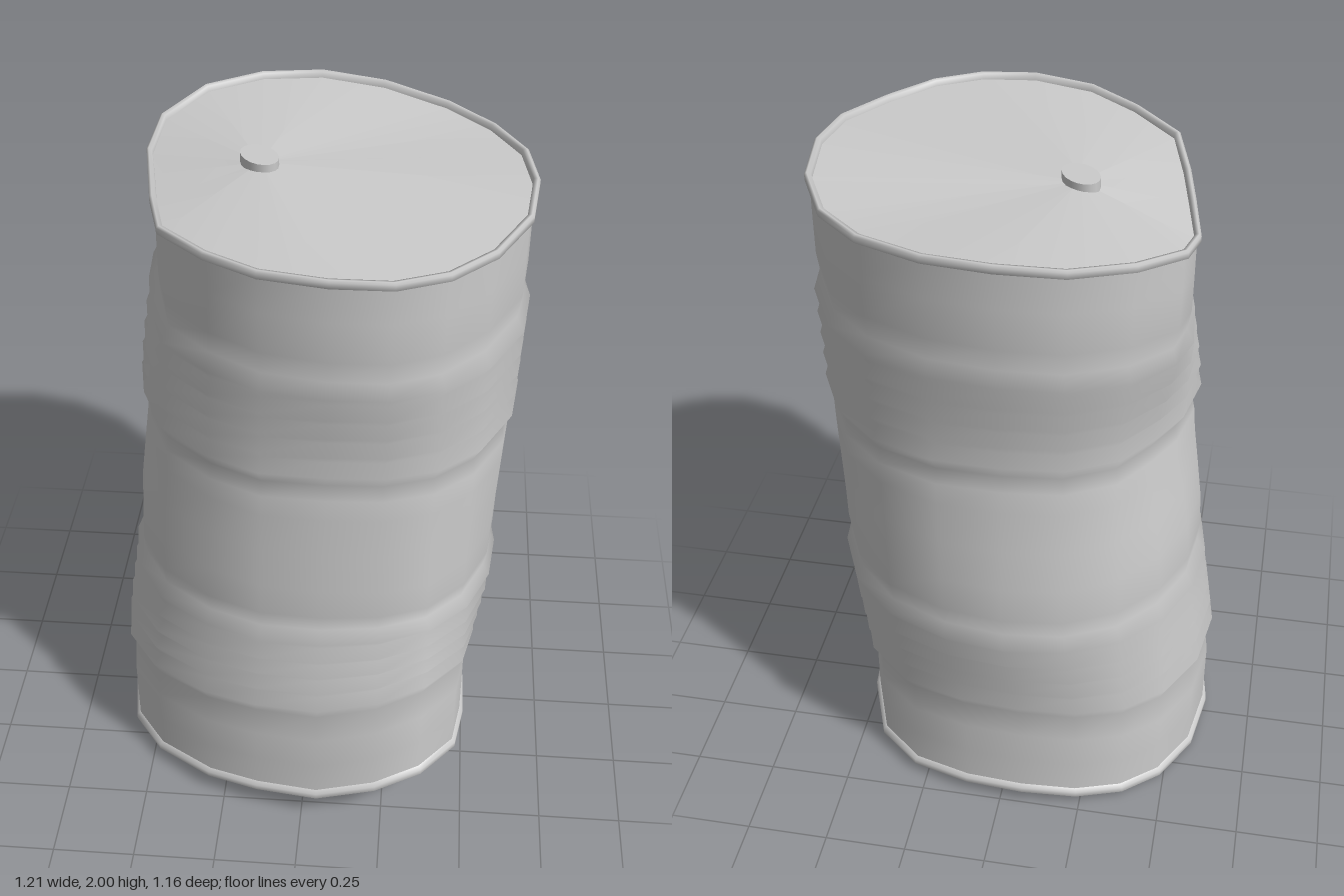
import * as THREE from 'three';

const N = 20; // sides of the drum

// Dented outlines [x, z], starting at +x and turning towards +z
const FOOT = [[.5, .03], [.5, .2], [.475, .365], [.37, .51], [.23, .56], [.05, .575], [-.14, .535], [-.3, .475], [-.475, .355], [-.575, .21],
  [-.605, .03], [-.575, -.16], [-.49, -.32], [-.38, -.42], [-.24, -.48], [-.07, -.5], [.11, -.485], [.29, -.43], [.42, -.33], [.485, -.16]];
const BELLY = [[.565, .03], [.545, .2], [.475, .36], [.37, .475], [.23, .52], [.06, .53], [-.12, .515], [-.28, .45], [-.43, .335], [-.52, .18],
  [-.55, .01], [-.53, -.16], [-.46, -.32], [-.35, -.45], [-.2, -.53], [-.02, -.555], [.16, -.53], [.34, -.45], [.47, -.32], [.545, -.16]];
const WAIST = [[.585, .03], [.565, .2], [.48, .36], [.37, .46], [.23, .51], [.07, .52], [-.11, .51], [-.26, .44], [-.4, .32], [-.475, .15],
  [-.505, 0], [-.47, -.16], [-.41, -.29], [-.33, -.42], [-.19, -.5], [-.02, -.52], [.17, -.51], [.35, -.44], [.48, -.32], [.56, -.16]];
const HEAD = [[.6, .03], [.58, .21], [.49, .38], [.375, .505], [.24, .57], [.08, .58], [-.1, .54], [-.245, .445], [-.38, .31], [-.43, .12],
  [-.46, -.04], [-.49, -.2], [-.47, -.35], [-.36, -.49], [-.2, -.57], [-.02, -.585], [.17, -.55], [.36, -.455], [.49, -.33], [.575, -.16]];
const KEYS = [[0, FOOT], [.25, FOOT], [.8, BELLY], [1.3, WAIST], [1.8, HEAD], [2, HEAD]];

// Height of the bent bottom edge, and drop of the top edge, per side
const LIFT = [.1, .12, .145, .17, .135, .1, .08, .06, .04, .02, .01, 0, .005, .015, .03, .04, .035, .025, .04, .075];
const DROP = [.01, .02, .03, .025, .02, .015, .02, .03, .04, .055, .06, .08, .045, .015, .005, 0, .01, .025, .03, .02];

// Point on side k at undeformed height y, pushed outwards by off
function shellPoint(k, y, off) {
  let i = 0;
  while (i < KEYS.length - 2 && y > KEYS[i + 1][0]) i++;
  const [y0, a] = KEYS[i], [y1, b] = KEYS[i + 1];
  const t = THREE.MathUtils.smoothstep(y, y0, y1);
  const x = THREE.MathUtils.lerp(a[k][0], b[k][0], t);
  const z = THREE.MathUtils.lerp(a[k][1], b[k][1], t);
  const s = 1 + off / Math.hypot(x, z);
  const low = THREE.MathUtils.clamp(1 - (y - .39) / .52, 0, 1);
  const high = THREE.MathUtils.clamp(y - 1, 0, 1);
  return [x * s, y + LIFT[k] * low - DROP[k] * high, z * s];
}

const ring = (y, off) => Array.from({ length: N }, (_, k) => shellPoint(k, y, off));
const hub = (x, y, z) => Array.from({ length: N }, () => [x, y, z]);

// Skin a stack of closed rings
function skin(name, rings, material) {
  const index = [];
  for (let i = 0; i < rings.length - 1; i++) {
    for (let k = 0; k < N; k++) {
      const n = (k + 1) % N;
      const a = i * N + k, b = a + N, c = i * N + n, d = c + N;
      index.push(a, b, c, b, d, c);
    }
  }
  const g = new THREE.BufferGeometry();
  g.setAttribute('position', new THREE.Float32BufferAttribute(rings.flat(2), 3));
  g.setIndex(index);
  g.computeVertexNormals();
  const mesh = new THREE.Mesh(g, material);
  mesh.name = name;
  return mesh;
}

export function createModel() {
  const group = new THREE.Group();
  group.name = 'dentedDrum';
  const metal = new THREE.MeshStandardMaterial({ color: 0xcccccc, side: THREE.DoubleSide });

  // Body wall with two bands of five ridges
  const wall = -.012;
  const profile = [[.02, wall], [.14, wall], [.25, wall]];
  const addBand = (crests) => {
    profile.push([crests[0] - .045, wall - .008]);
    crests.forEach((y, i) => {
      profile.push([y, wall + .017]);
      const next = crests[i + 1];
      profile.push([next ? (y + next) / 2 : y + .045, wall - .008]);
    });
  };
  addBand([.39, .47, .54, .61, .69]);
  for (const y of [.8, .92, 1.05, 1.18, 1.25]) profile.push([y, wall]);
  addBand([1.345, 1.42, 1.49, 1.56, 1.635]);
  for (const y of [1.75, 1.87, 1.98]) profile.push([y, wall]);
  group.add(skin('body', profile.map(([y, off]) => ring(y, off)), metal));

  // Rolled rims at both ends
  group.add(skin('topRim', [ring(1.97, wall), ring(1.977, 0), ring(1.995, 0), ring(2, -.007), ring(1.997, -.018), ring(1.978, -.02)], metal));
  group.add(skin('bottomRim', [ring(.03, -.02), ring(.004, -.018), ring(0, -.007), ring(.006, 0), ring(.024, 0), ring(.032, wall)], metal));

  // Recessed end plates, each fanned from one hub
  group.add(skin('lid', [ring(1.98, -.018), hub(-.15, 1.965, -.05)], metal));
  group.add(skin('base', [hub(-.05, .08, .02), ring(.028, -.018)], metal));

  // Oval filler cap on the lid
  const cap = new THREE.Mesh(new THREE.CylinderGeometry(.055, .055, .03, 18), metal);
  cap.name = 'fillerCap';
  cap.scale.set(1.2, 1, .85);
  cap.rotation.y = -.9;
  cap.position.set(-.153, 1.972, -.05);
  group.add(cap);

  return group;
}
